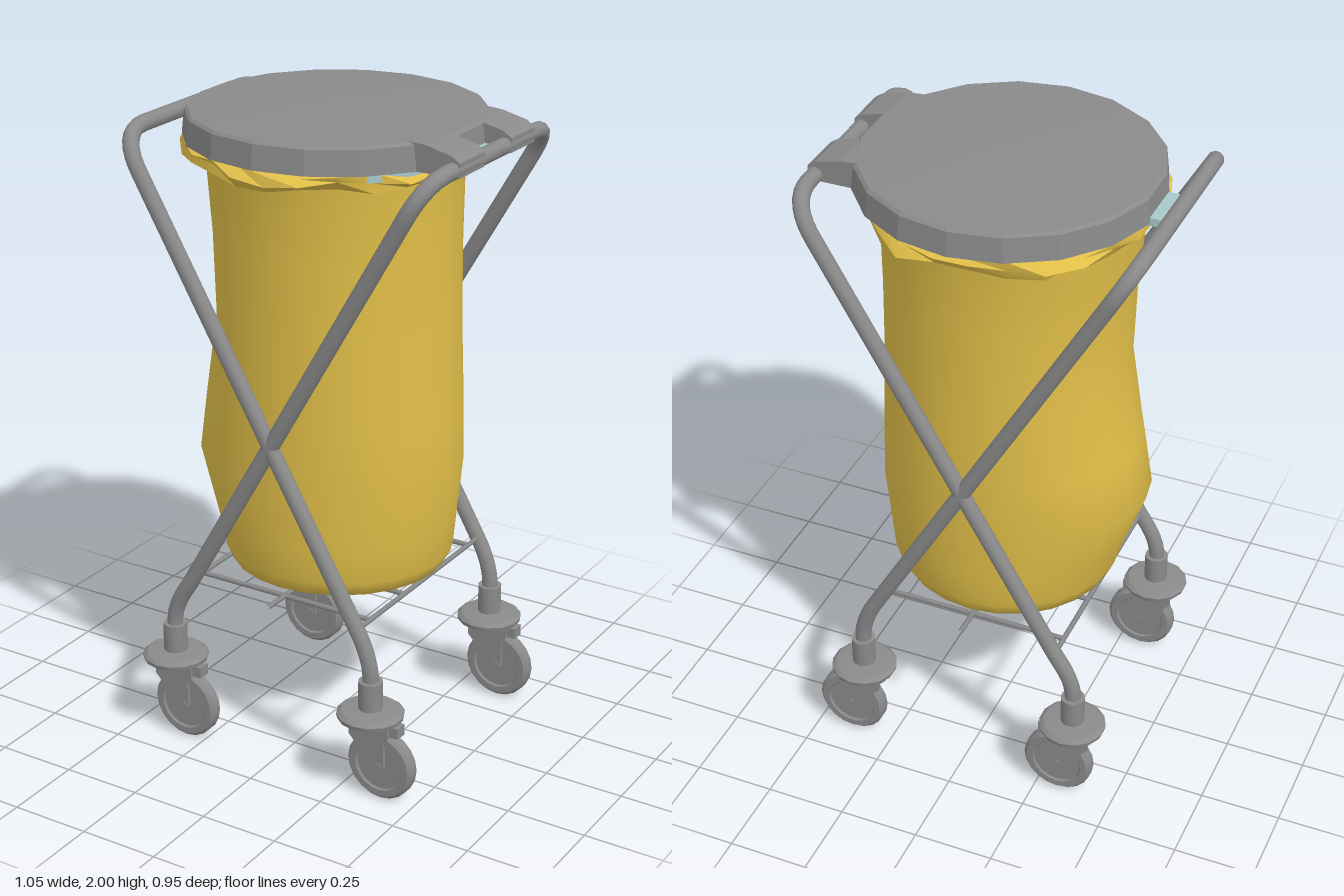
import * as THREE from 'three';
import { toCreasedNormals } from 'three/addons/utils/BufferGeometryUtils.js';

const V = (x, y, z) => new THREE.Vector3(x, y, z);

export function createModel() {
  const model = new THREE.Group();
  model.name = 'laundryTrolley';
  const mat = (name, color) => Object.assign(new THREE.MeshStandardMaterial({ color }), { name });
  const grey = mat('greyMetal', 0x8a8a8a);
  const yellow = mat('yellowBag', 0xe0be48);
  yellow.side = THREE.DoubleSide;
  const blue = mat('paleBlueRing', 0xa8c8ca);

  const add = (parent, name, geo, material, x = 0, y = 0, z = 0) => {
    const m = new THREE.Mesh(geo, material);
    m.name = name;
    m.position.set(x, y, z);
    parent.add(m);
    return m;
  };
  const lathe = (pts, n, crease = 0.5) =>
    toCreasedNormals(new THREE.LatheGeometry(pts.map(p => new THREE.Vector2(...p)), n), crease);

  // Skin closed rings of points, listed from bottom to top
  const loft = (rows, n, pointAt) => {
    const pos = [], idx = [];
    rows.forEach((row, i) => {
      for (let j = 0; j < n; j++) {
        pos.push(...pointAt(row, (j / n) * Math.PI * 2, i));
        if (i === rows.length - 1) continue;
        const a = i * n + j, b = i * n + (j + 1) % n;
        idx.push(a, a + n, b + n, a, b + n, b);
      }
    });
    const g = new THREE.BufferGeometry();
    g.setAttribute('position', new THREE.Float32BufferAttribute(pos, 3));
    g.setIndex(idx);
    g.computeVertexNormals();
    return g;
  };

  // Two crossed U-shaped tubes; side is where the top bar sits, foot the x of its two feet
  const frameTube = (name, side, foot) => {
    const zl = 0.37, f = Math.sign(foot);
    const path = new THREE.CurvePath();
    const line = (a, b) => path.add(new THREE.LineCurve3(a, b));
    const bend = (a, c, b) => path.add(new THREE.QuadraticBezierCurve3(a, c, b));
    const corner = z => V(side * 0.503, 1.92, z);
    const below = z => V(side * 0.44, 1.81, z);
    const inner = z => V(side * 0.503, 1.92, z * 0.68);
    const kneeTop = z => V(f * 0.305, 0.52, z);
    const knee = z => V(foot, 0.445, z);
    const kneeEnd = z => V(foot, 0.38, z);
    const end = z => V(foot, 0.33, z);
    line(end(zl), kneeEnd(zl));
    bend(kneeEnd(zl), knee(zl), kneeTop(zl));
    line(kneeTop(zl), below(zl));
    bend(below(zl), corner(zl), inner(zl));
    line(inner(zl), inner(-zl));
    bend(inner(-zl), corner(-zl), below(-zl));
    line(below(-zl), kneeTop(-zl));
    bend(kneeTop(-zl), knee(-zl), kneeEnd(-zl));
    line(kneeEnd(-zl), end(-zl));
    add(model, name, new THREE.TubeGeometry(path, 180, 0.025, 10), grey);
  };
  frameTube('rightTopFrame', -1, 0.345);
  frameTube('leftTopFrame', 1, -0.36);

  // Casters: socket, round guard, fork and wheel
  const wheelGeo = lathe([[0, -0.018], [0.075, -0.018], [0.08, -0.024], [0.1, -0.024], [0.11, -0.014],
    [0.11, 0.014], [0.1, 0.024], [0.08, 0.024], [0.075, 0.018], [0, 0.018]], 20).rotateX(Math.PI / 2);
  const guardGeo = lathe([[0, 0.235], [0.05, 0.24], [0.06, 0.255], [0.1, 0.262], [0.103, 0.275],
    [0.09, 0.285], [0.037, 0.29], [0.037, 0.38], [0, 0.38]], 14);
  const forkShape = new THREE.Shape([[-0.06, 0.26], [0.075, 0.26], [0.075, 0.215], [0.06, 0.2],
    [0.062, 0.11], [0.045, 0.095], [0.028, 0.105], [-0.06, 0.2]].map(p => new THREE.Vector2(...p)));
  const forkGeo = new THREE.ExtrudeGeometry(forkShape, { depth: 0.01, bevelEnabled: false });
  for (const x of [-0.36, 0.345]) for (const z of [-0.37, 0.37]) {
    const caster = new THREE.Group();
    caster.name = 'caster';
    caster.position.set(x, 0, z);
    add(caster, 'guardAndSocket', guardGeo, grey);
    add(caster, 'wheel', wheelGeo, grey, 0.042, 0.113, 0);
    for (const s of [-1, 1]) add(caster, 'fork', forkGeo, grey, 0, 0, s * 0.023 - 0.005);
    add(caster, 'axle', new THREE.CylinderGeometry(0.014, 0.014, 0.062, 10).rotateX(Math.PI / 2), grey, 0.042, 0.113, 0);
    add(caster, 'brakePedal', new THREE.BoxGeometry(0.03, 0.035, 0.04), grey, 0.09, 0.238, 0);
    model.add(caster);
  }

  // Wire shelf under the bag
  const rod = (a, b) => add(model, 'shelfRod', new THREE.TubeGeometry(new THREE.LineCurve3(a, b), 1, 0.008, 6), grey);
  for (const x of [-0.3, 0, 0.3]) rod(V(x, 0.537, -0.395), V(x, 0.537, 0.395));
  for (const z of [-0.3, -0.1, 0.1, 0.3]) rod(V(-0.3, 0.537, z), V(0.3, 0.537, z));

  // Bag body: rows of y, right reach, left reach, depth
  const bagRows = [
    [0.56, 0.001, 0.001, 0.001], [0.557, 0.27, 0.29, 0.28], [0.575, 0.325, 0.34, 0.325],
    [0.62, 0.345, 0.365, 0.345], [0.72, 0.375, 0.375, 0.352], [0.9, 0.44, 0.395, 0.358],
    [1.08, 0.41, 0.39, 0.358], [1.35, 0.362, 0.378, 0.355], [1.6, 0.37, 0.374, 0.358],
    [1.84, 0.392, 0.376, 0.365], [1.91, 0.4, 0.39, 0.395],
  ];
  add(model, 'bag', loft(bagRows, 24, ([y, r, l, d], a) => {
    const c = Math.cos(a), s = Math.sin(a);
    return [c * (c < 0 ? r : l), y, s * d];
  }), yellow);

  // Crumpled hem folded outwards over the ring
  const hemRows = [[1.848, 0.428, 0.013], [1.872, 0.452, 0.016], [1.895, 0.442, 0.01], [1.908, 0.395, 0]];
  add(model, 'bagHem', toCreasedNormals(loft(hemRows, 26, ([y, r, w], a, i) => {
    const k = r + w * (Math.sin(5 * a + i) + 0.7 * Math.sin(11 * a + 2 * i));
    const dy = w * 0.7 * Math.sin(7 * a + i);
    return [k * Math.cos(a) * 0.95 - 0.012, y + dy, k * Math.sin(a)];
  }), 0.6), yellow);

  // Bag ring with a bracket to each top bar
  add(model, 'bagRing', lathe([[0.385, 1.872], [0.415, 1.872], [0.415, 1.902], [0.385, 1.902], [0.385, 1.872]], 24), blue);
  for (const s of [-1, 1])
    add(model, 'ringBracket', new THREE.BoxGeometry(0.1, 0.025, 0.152), blue, s * 0.435, 1.907, 0);

  // Faceted lid
  add(model, 'lid', lathe([[0, 1.925], [0.425, 1.925], [0.43, 1.902], [0.45, 1.902], [0.442, 1.975], [0.433, 1.983], [0, 1.998]], 18, 0.15), grey);

  // Hinge lugs wrapping the left top bar
  const lug = new THREE.Shape([[0.36, 1.902], [0.525, 1.902], [0.525, 1.945], [0.5, 1.962], [0.42, 1.981], [0.36, 1.985]]
    .map(p => new THREE.Vector2(...p)));
  const lugGeo = new THREE.ExtrudeGeometry(lug, { depth: 0.143, bevelEnabled: false });
  for (const z of [-0.221, 0.078]) add(model, 'lidHinge', lugGeo, grey, 0, 0, z);

  return model;
}
